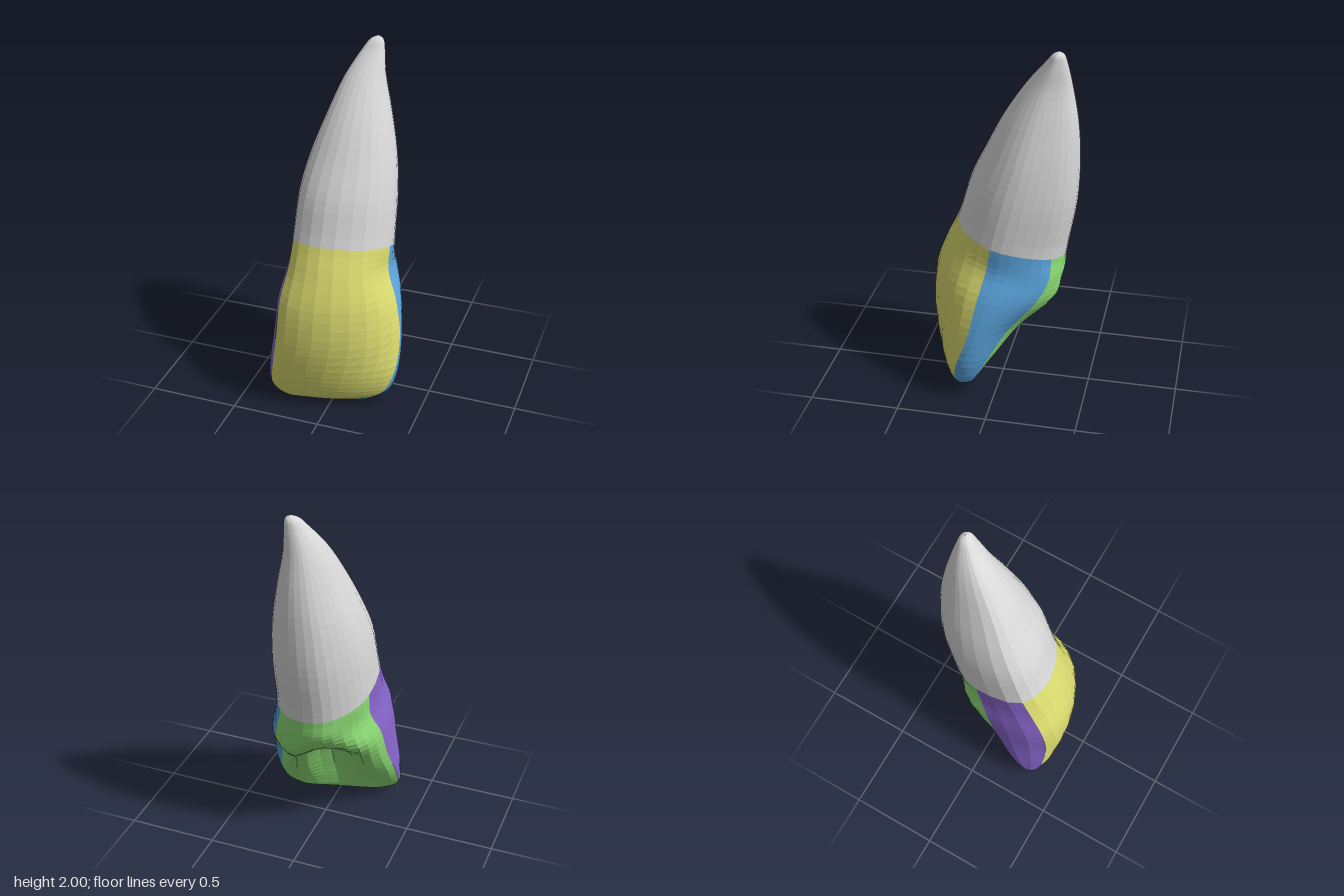
import * as THREE from 'three';

const AROUND = 3; // facets between neighbouring guide lines
const UP = 4;     // facets between neighbouring sections

// Crown sections, biting edge to neck: height, four [x, z] corners
// (front right, front left, back left, back right), then the bulges of
// the front face, the two back ridges and the hollow between them.
const crown = [
  [0.03, [-.25, .33], [.14, .25], [.2, .165], [-.25, .29], .015, .01, 0],
  [0.09, [-.325, .34], [.28, .225], [.28, .12], [-.345, .285], .05, .02, -.01],
  [0.22, [-.315, .37], [.345, .2], [.295, .05], [-.36, .21], .07, .05, -.05],
  [0.42, [-.285, .38], [.355, .13], [.24, -.07], [-.338, .1], .11, .085, -.07],
  [0.62, [-.27, .35], [.315, .085], [.215, -.22], [-.32, .02], .13, .14, .12],
  [0.78, [-.248, .26], [.255, .045], [.175, -.285], [-.28, -.05], .14, .1, .16],
  [0.92, [-.24, .2], [.255, .02], [.15, -.295], [-.278, -.075], .12, .1, .15],
];

// Root sections: height, x range, z range
const root = [
  [1.2, -.272, .25, -.402, .195],
  [1.4, -.23, .225, -.412, .11],
  [1.6, -.162, .18, -.4, .01],
  [1.8, -.085, .13, -.367, -.12],
  [1.93, -.01, .112, -.342, -.225],
  [1.98, .028, .1, -.327, -.265],
];

// Point at share s from p to q, pushed outwards
function between(p, q, s, out) {
  const dx = q[0] - p[0], dz = q[1] - p[1];
  const k = out / Math.hypot(dx, dz);
  return [p[0] + dx * s - dz * k, p[1] + dz * s + dx * k];
}

// Ten guide points round a crown section
function outline([, fr, fl, bl, br, front, ridge, hollow]) {
  return [
    fr, between(fr, fl, 0.28, front), between(fr, fl, 0.72, front),
    fl, between(fl, bl, 0.5, 0.03),
    bl, between(bl, br, 0.15, ridge), between(bl, br, 0.45, hollow), between(bl, br, 0.77, ridge),
    br,
  ];
}

// Sections slope upwards to the front, most of all at the neck
function raise(h, pts) {
  const tilt = 0.25 * Math.exp(-(((h - 0.95) / 0.33) ** 2));
  return pts.map(([x, z]) => new THREE.Vector3(x, h + tilt * z, z));
}

function buildSections() {
  const outlines = crown.map(outline);
  const neck = outlines[outlines.length - 1];
  // the biting edge closes to a line that rises at both ends
  const edge = outlines[0].map(([x]) => new THREE.Vector3(x * 0.6, 0.3 * x * x, 0.25 - 0.13 * x));
  // the root keeps the neck outline, fitted into each range
  const roots = root.map(([h, x0, x1, z0, z1]) => raise(h, neck.map(([x, z]) => [
    (x0 + x1) / 2 + (x + 0.017) / 0.272 * (x1 - x0) / 2,
    (z0 + z1) / 2 + (z + 0.04) / 0.31 * (z1 - z0) / 2,
  ])));
  const tip = neck.map(() => new THREE.Vector3(0.068, 2, -0.3));
  return [edge, ...outlines.map((pts, i) => raise(crown[i][0], pts)), ...roots, tip];
}

// Smooth grid of rings: first along the guide lines, then around each level
function buildRings() {
  const sections = buildSections();
  const guides = sections[0].map((_, i) => new THREE.CatmullRomCurve3(sections.map((s) => s[i])));
  const levels = (sections.length - 1) * UP;
  const sides = guides.length * AROUND;
  const rings = [];
  for (let j = 0; j <= levels; j++) {
    const pts = guides.map((g) => g.getPoint(j / levels));
    const loop = new THREE.CatmullRomCurve3(pts, true);
    const isTip = j === levels;
    rings.push(Array.from({ length: sides }, (_, i) => (isTip ? pts[0] : loop.getPoint(i / sides))));
  }
  return rings;
}

// Faceted patch covering guide lines g0..g1 and ring levels j0..j1
function patch(rings, g0, g1, j0, j1) {
  const pos = [];
  const n = rings[0].length;
  for (let j = j0; j < j1; j++) {
    for (let i = g0 * AROUND; i < g1 * AROUND; i++) {
      const a = rings[j][i % n], b = rings[j][(i + 1) % n];
      const c = rings[j + 1][(i + 1) % n], d = rings[j + 1][i % n];
      for (const p of [a, b, c, a, c, d]) pos.push(p.x, p.y, p.z);
    }
  }
  const geo = new THREE.BufferGeometry();
  geo.setAttribute('position', new THREE.Float32BufferAttribute(pos, 3));
  geo.computeVertexNormals();
  return geo;
}

export function createModel() {
  const group = new THREE.Group();
  group.name = 'tooth';
  const rings = buildRings();
  const neckLevel = crown.length * UP;
  const top = rings.length - 1;

  // name, colour name, colour, guide range, level range
  const parts = [
    ['root', 'light grey', 0xdadada, 0, 10, neckLevel, top],
    ['crownFront', 'yellow', 0xdcdc70, 0, 3, 0, neckLevel],
    ['crownLeftSide', 'blue', 0x5ba5de, 3, 5, 0, neckLevel],
    ['crownBack', 'green', 0x90e078, 5, 9, 0, neckLevel],
    ['crownRightSide', 'purple', 0x8866cc, 9, 10, 0, neckLevel],
  ];
  for (const [name, colourName, color, g0, g1, j0, j1] of parts) {
    const material = new THREE.MeshStandardMaterial({ color });
    material.name = colourName;
    const mesh = new THREE.Mesh(patch(rings, g0, g1, j0, j1), material);
    mesh.name = name;
    group.add(mesh);
  }
  return group;
}
